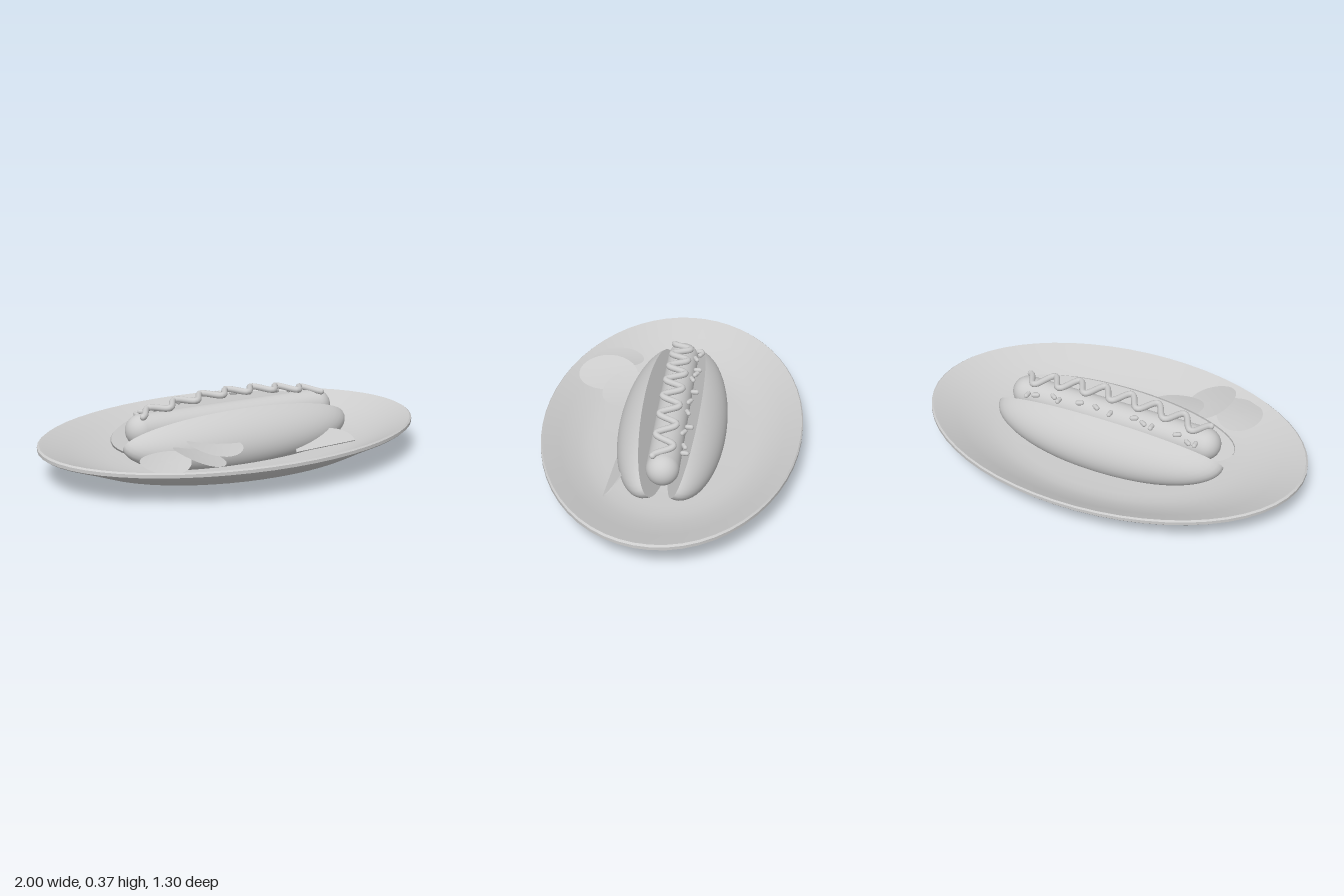
import * as THREE from 'three';
import { toCreasedNormals } from 'three/addons/utils/BufferGeometryUtils.js';

const clay = new THREE.MeshStandardMaterial({ color: 0xcccccc });
clay.name = 'plainGrey';
const clayThin = clay.clone();
clayThin.side = THREE.DoubleSide;

function add(parent, name, geometry, material = clay) {
  const mesh = new THREE.Mesh(geometry, material);
  mesh.name = name;
  parent.add(mesh);
  return mesh;
}

// Oval plate with a foot ring, turned from one closed profile
function plate(parent) {
  const profile = [
    [0, 0.05], [0.43, 0.05], [0.45, 0.02], [0.505, 0.02], [0.515, 0.045], [0.54, 0.05],
    [0.71, 0.056], [0.76, 0.066], [0.87, 0.11], [0.99, 0.155], [1, 0.162], [1, 0.178],
    [0.99, 0.185], [0.975, 0.18], [0.86, 0.135], [0.73, 0.09], [0.64, 0.072],
    [0.56, 0.066], [0, 0.066],
  ].map(([r, y]) => new THREE.Vector2(r, y));
  const g = new THREE.LatheGeometry(profile, 56);
  g.scale(1, 1, 0.65);
  add(parent, 'plate', toCreasedNormals(g, 0.5));
}

// Half of a split bun: half an ellipsoid closed by a tilted flat cut
function bunHalf(parent, name, turn) {
  const bun = new THREE.Group();
  bun.name = name;
  const half = new THREE.Group();
  half.position.set(0, 0.178, 0.07);
  half.rotation.x = 2.06;
  const crust = new THREE.SphereGeometry(1, 48, 16, 0, Math.PI * 2, 0, Math.PI / 2);
  crust.scale(0.62, 0.21, 0.155);
  add(half, 'crust', crust);
  const cut = new THREE.CircleGeometry(1, 48);
  cut.rotateX(Math.PI / 2);
  cut.scale(0.62, 1, 0.155);
  add(half, 'cutFace', cut);
  bun.add(half);
  bun.rotation.y = turn;
  parent.add(bun);
}

// Sauce squeezed in a zigzag, arching over the sausage
function sauce(parent) {
  const points = [];
  for (let i = 0; i <= 84; i++) {
    const x = -0.5 + i / 84;
    const z = -0.046 * Math.cos(x * Math.PI * 2 / 0.1435);
    points.push(new THREE.Vector3(x, 0.367 - 0.22 * x * x, z));
  }
  const curve = new THREE.CatmullRomCurve3(points);
  add(parent, 'sauceZigzag', new THREE.TubeGeometry(curve, 220, 0.016, 10));
  for (const p of [points[0], points[84]]) {
    add(parent, 'sauceEnd', new THREE.SphereGeometry(0.016, 10, 8)).position.copy(p);
  }
}

// Chopped relish lying along the back of the sausage
function relish(parent) {
  const spots = [-0.475, -0.44, -0.375, -0.245, -0.2, -0.145, -0.025, 0.06, 0.15, 0.26, 0.3, 0.395, 0.44];
  spots.forEach((x, i) => {
    const bit = add(parent, 'relishBit', new THREE.CapsuleGeometry(0.012, 0.02, 4, 8));
    bit.position.set(x, 0.332 - 0.2 * x * x, -0.092 - 0.013 * Math.sin(i * 2.3));
    bit.rotation.set(Math.PI / 2, 0, (i * 2.1) % Math.PI, 'XYZ');
  });
}

// Thin oval chips leaning on each other
function chip(parent, x, y, z, rx, rz, tiltZ, tiltX, bend) {
  const g = new THREE.RingGeometry(0, 1, 28, 4);
  g.rotateX(-Math.PI / 2);
  const p = g.attributes.position;
  for (let i = 0; i < p.count; i++) p.setY(i, bend * (p.getX(i) ** 2 - p.getZ(i) ** 2));
  g.scale(rx, 1, rz);
  g.computeVertexNormals();
  const mesh = add(parent, 'chip', g, clayThin);
  mesh.position.set(x, y, z);
  mesh.rotation.set(tiltX, 0, tiltZ);
}

// Half-moon slice resting between bun and plate
function slice(parent) {
  const shape = new THREE.Shape();
  shape.absellipse(0, 0, 0.165, 0.1, 0, Math.PI, false);
  const g = new THREE.ExtrudeGeometry(shape, { depth: 0.008, bevelEnabled: false, curveSegments: 24 });
  const mesh = add(parent, 'halfMoonSlice', g);
  mesh.position.set(0.4, 0.09, 0.262);
  mesh.rotation.set(-0.8, -0.08, 0);
}

export function createModel() {
  const model = new THREE.Group();
  model.name = 'filledBunOnPlate';
  plate(model);
  bunHalf(model, 'frontBun', 0);
  bunHalf(model, 'backBun', Math.PI);
  const sausage = add(model, 'sausage', new THREE.CapsuleGeometry(0.08, 0.98, 10, 28));
  sausage.rotation.z = Math.PI / 2;
  sausage.position.y = 0.233;
  sauce(model);
  relish(model);
  chip(model, -0.53, 0.182, 0.36, 0.115, 0.145, 0.1, 0.05, 0.008);
  chip(model, -0.367, 0.193, 0.383, 0.122, 0.155, -0.27, 0, 0.006);
  chip(model, -0.225, 0.192, 0.265, 0.14, 0.13, -0.12, 0.1, 0.008);
  slice(model);
  return model;
}
